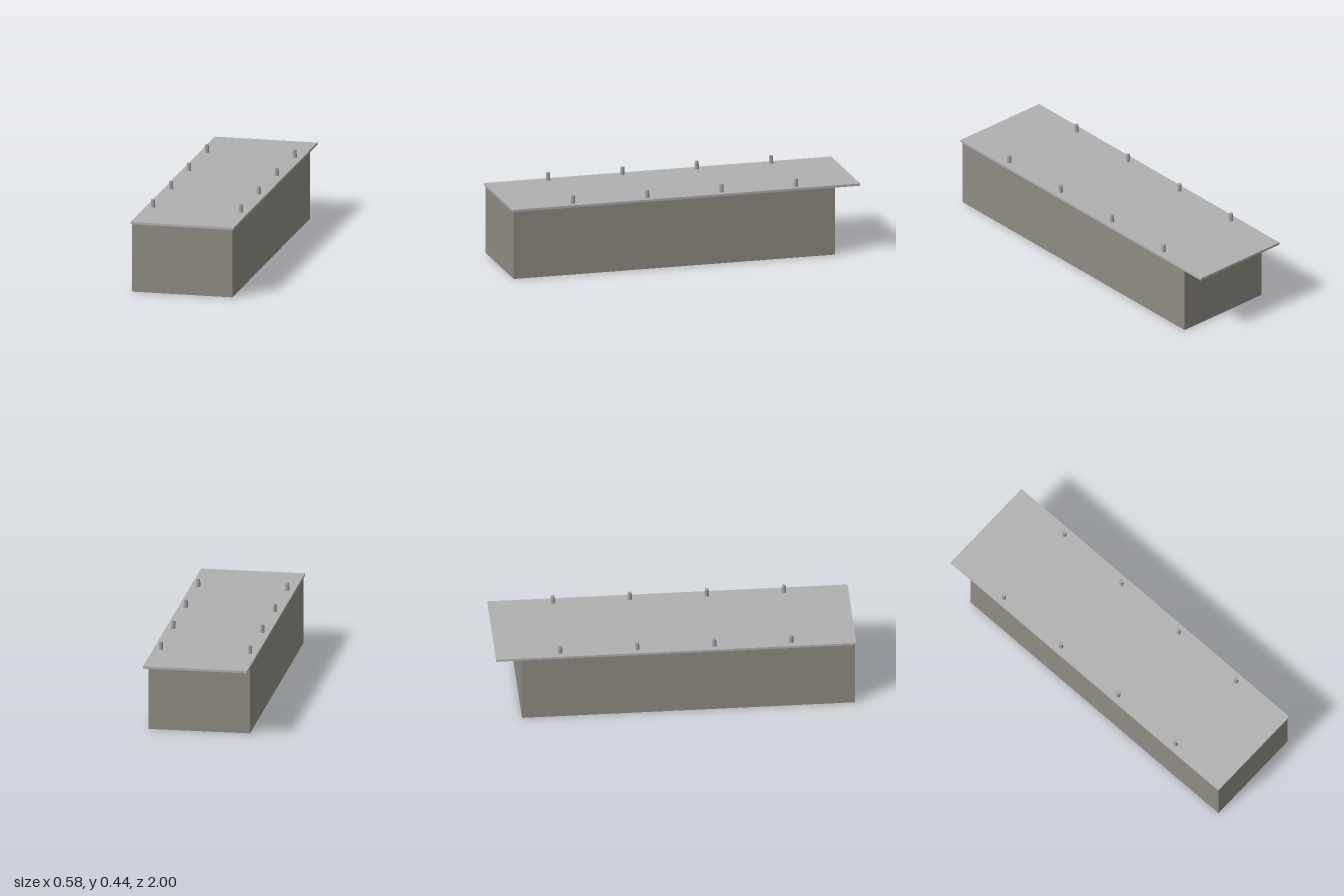
import * as THREE from 'three';

const material = (name, color) => {
  const m = new THREE.MeshStandardMaterial({ color });
  m.name = name;
  return m;
};

export function createModel() {
  const group = new THREE.Group();
  group.name = 'platformBlock';
  const stone = material('warm grey', 0x8f8b83);
  const slabGrey = material('light grey', 0xb0b0b0);
  const metal = material('peg grey', 0xa0a0a0);

  const add = (name, geometry, mat, x, y, z) => {
    const mesh = new THREE.Mesh(geometry, mat);
    mesh.name = name;
    mesh.position.set(x, y, z);
    group.add(mesh);
  };

  // Solid body, set back from the rear edge of the slab
  add('body', new THREE.BoxGeometry(0.57, 0.386, 1.85), stone, 0, 0.193, 0.068);

  // Thin slab overhanging the back
  add('topSlab', new THREE.BoxGeometry(0.584, 0.013, 2), slabGrey, 0, 0.3925, 0);

  // Tapered pegs in two rows of four
  const peg = new THREE.CylinderGeometry(0.0105, 0.0125, 0.044, 16);
  for (const x of [-0.25, 0.249]) {
    for (let i = 0; i < 4; i++) {
      add('peg', peg, metal, x, 0.421, -0.642 + i * 0.428);
    }
  }
  return group;
}
